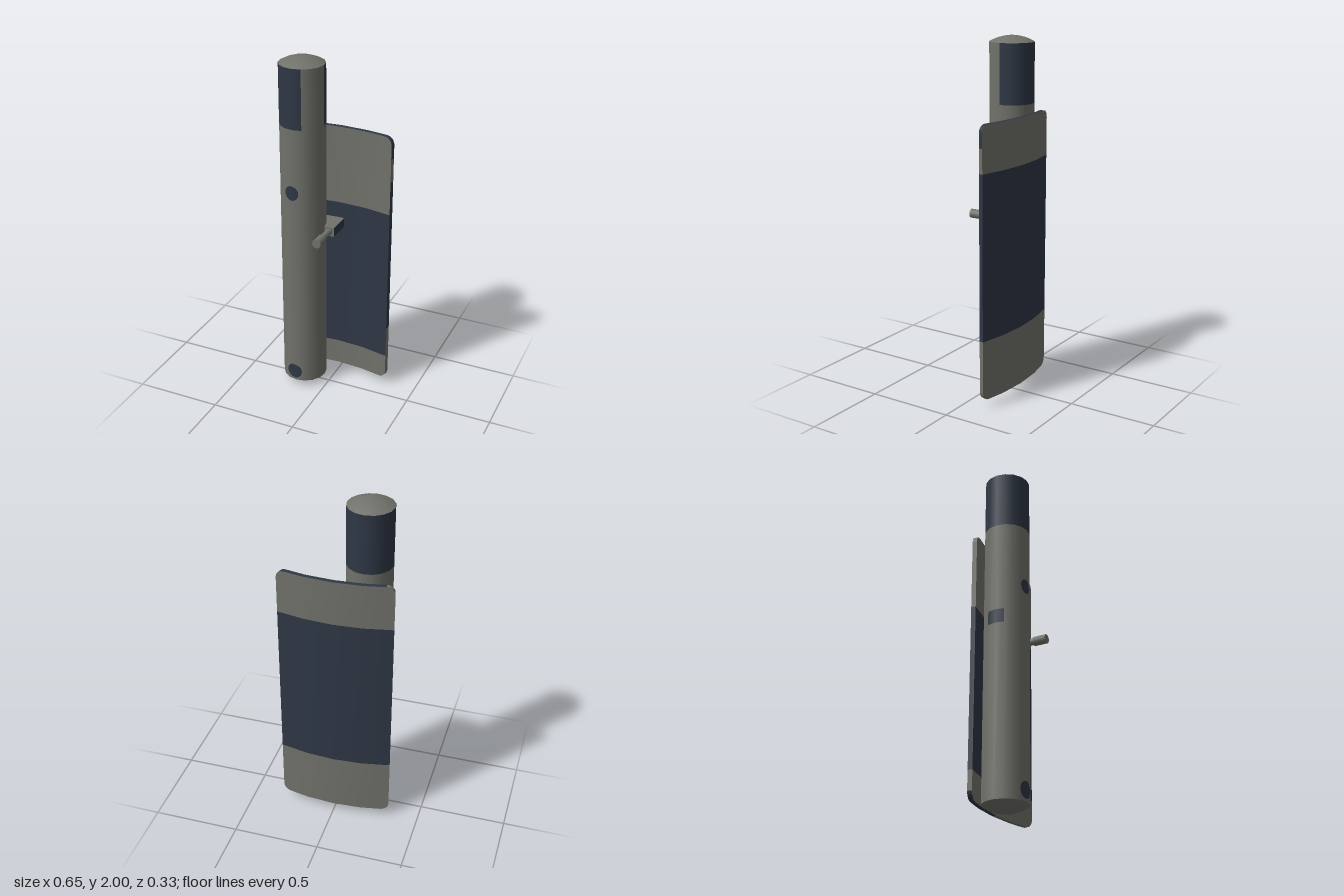
import * as THREE from 'three';

const CX = -0.155, R = 0.127;          // tube axis and radius
const Y0 = 0.04, Y1 = 1.965;           // straight part of the tube
const P0 = 0.045, P1 = 1.58, CORNER = 0.045; // panel height and corner radius

const grey = new THREE.MeshStandardMaterial({ color: 0x72726c });
grey.name = 'warm grey';
const navy = new THREE.MeshStandardMaterial({ color: 0x2f3846 });
navy.name = 'dark navy';

// Surface between two rows of points
function loft(a, b) {
  const n = a.length, index = [];
  for (let i = 0; i < n - 1; i++) index.push(i, i + 1, n + i + 1, i, n + i + 1, n + i);
  const g = new THREE.BufferGeometry().setFromPoints([...a, ...b]);
  g.setIndex(index);
  g.computeVertexNormals();
  return g;
}

function add(parent, name, geometry, material) {
  const mesh = new THREE.Mesh(geometry, material);
  mesh.name = name;
  parent.add(mesh);
  return mesh;
}

function createTube() {
  const tube = new THREE.Group();
  tube.name = 'tube';
  const step = Math.PI / 8;
  const wall = (name, y0, y1, first, count, mat, r = R) => {
    const g = new THREE.CylinderGeometry(r, r, y1 - y0, count, 1, true, first * step, count * step);
    add(tube, name, g, mat).position.set(CX, (y0 + y1) / 2, 0);
  };
  wall('tubeBody', Y0, 1.63, 0, 16, grey);
  wall('tubeTopFront', 1.63, Y1, 1, 3, grey);
  wall('tubeTopBand', 1.63, Y1, 4, 13, navy);
  wall('sidePatch', 1.02, 1.1, 11, 2, navy, R + 0.001);

  // Domed ends
  const dome = (name, rim, tip) => {
    const pts = [];
    for (let i = 0; i <= 5; i++) {
      const t = i / 5;
      pts.push(new THREE.Vector2(R * t, tip + (rim - tip) * t * t));
    }
    if (tip > rim) pts.reverse();
    add(tube, name, new THREE.LatheGeometry(pts, 16), grey).position.x = CX;
  };
  dome('topDome', Y1, 2);
  dome('bottomDome', Y0, 0);

  // Round spots lying on the front facets
  const spot = (x, y, rx, ry) => {
    const low = [], high = [];
    for (let i = 0; i <= 12; i++) {
      const a = Math.PI * (1 - i / 12), px = x + rx * Math.cos(a), h = ry * Math.sin(a);
      const z = R - Math.abs(px - CX) * Math.tan(Math.PI / 16) + 0.002;
      low.push(new THREE.Vector3(px, y - h, z));
      high.push(new THREE.Vector3(px, y + h, z));
    }
    add(tube, 'spot', loft(low, high), navy);
  };
  spot(-0.167, 1.26, 0.04, 0.043);
  spot(-0.167, 0.1, 0.046, 0.046);
  return tube;
}

function createPanel() {
  const panel = new THREE.Group();
  panel.name = 'curvedPanel';
  const front = [[0, -0.143], [0.16, -0.133], [0.32, -0.101]];
  const back = [[0, -0.168], [0.164, -0.157], [0.326, -0.126]];

  // Stations across the width, denser at the rounded corners
  const half = [0, 0.5];
  for (let i = 0; i <= 5; i++) {
    half.push(1 - (CORNER / 0.32) * (1 - Math.sin((i / 5) * Math.PI / 2)));
  }
  const us = [...half.slice(1).map(u => -u).reverse(), ...half];
  const inset = u => {
    const t = Math.max(0, 1 - (1 - Math.abs(u)) * 0.32 / CORNER);
    return CORNER * (1 - Math.sqrt(Math.max(0, 1 - t * t)));
  };
  const at = (side, u, y) => {
    const s = Math.abs(u) * 2, i = Math.min(1, Math.floor(s)), t = s - i;
    const x = THREE.MathUtils.lerp(side[i][0], side[i + 1][0], t);
    const z = THREE.MathUtils.lerp(side[i][1], side[i + 1][1], t);
    return new THREE.Vector3(Math.sign(u) * x, y, z);
  };
  const row = (side, y, list = us) => list.map(u =>
    at(side, u, THREE.MathUtils.clamp(y, P0 + inset(u), P1 - inset(u))));

  // Front and back faces, each with a dark middle band
  const bands = (name, side, levels, flip) => {
    for (let i = 0; i < 3; i++) {
      const a = row(side, levels[i]), b = row(side, levels[i + 1]);
      add(panel, name, flip ? loft(b, a) : loft(a, b), i === 1 ? navy : grey);
    }
  };
  bands('panelFront', front, [P0, 0.2, 1.125, P1], false);
  bands('panelBack', back, [P0, 0.39, 1.32, P1], true);

  // Top and bottom rims
  const rim = (name, y, list, mat) => {
    const f = row(front, y, list), b = row(back, y, list);
    add(panel, name, y === P1 ? loft(f, b) : loft(b, f), mat);
  };
  rim('topRim', P1, us.filter(u => u <= -0.86 + 0.01), grey);
  rim('topRim', P1, us.filter(u => u >= -0.86 - 0.01), navy);
  rim('bottomRim', P0, us.filter(u => u <= 0), navy);
  rim('bottomRim', P0, us.filter(u => u >= 0), grey);

  // Side rims
  const sideRim = (u, levels, firstMat) => {
    for (let i = 0; i < levels.length - 1; i++) {
      const f = [at(front, u, levels[i]), at(front, u, levels[i + 1])];
      const b = [at(back, u, levels[i]), at(back, u, levels[i + 1])];
      const mat = (i % 2 === 0) === (firstMat === grey) ? grey : navy;
      add(panel, 'sideRim', u > 0 ? loft(b, f) : loft(f, b), mat);
    }
  };
  sideRim(1, [P0 + CORNER, 0.39, 1.32, 1.455, P1 - CORNER], grey);
  sideRim(-1, [P0 + CORNER, 0.2, 1.125, P1 - CORNER], grey);
  return panel;
}

function createBracket() {
  const bracket = new THREE.Group();
  bracket.name = 'bracket';
  const block = new THREE.BoxGeometry(0.185, 0.054, 0.144);
  add(bracket, 'block', block, [navy, grey, grey, grey, grey, grey]).position.set(-0.0625, 1.004, -0.072);
  // Pin with a thicker knob, pointing forward
  for (const [name, r, z0, z1] of [['pin', 0.019, -0.01, 0.09], ['knob', 0.026, 0.09, 0.167]]) {
    const g = new THREE.CylinderGeometry(r, r, z1 - z0, 12).rotateX(Math.PI / 2);
    add(bracket, name, g, grey).position.set(0, 1.004, (z0 + z1) / 2);
  }
  return bracket;
}

export function createModel() {
  const model = new THREE.Group();
  model.name = 'tubeWithPanel';
  model.add(createTube(), createPanel(), createBracket());
  return model;
}
